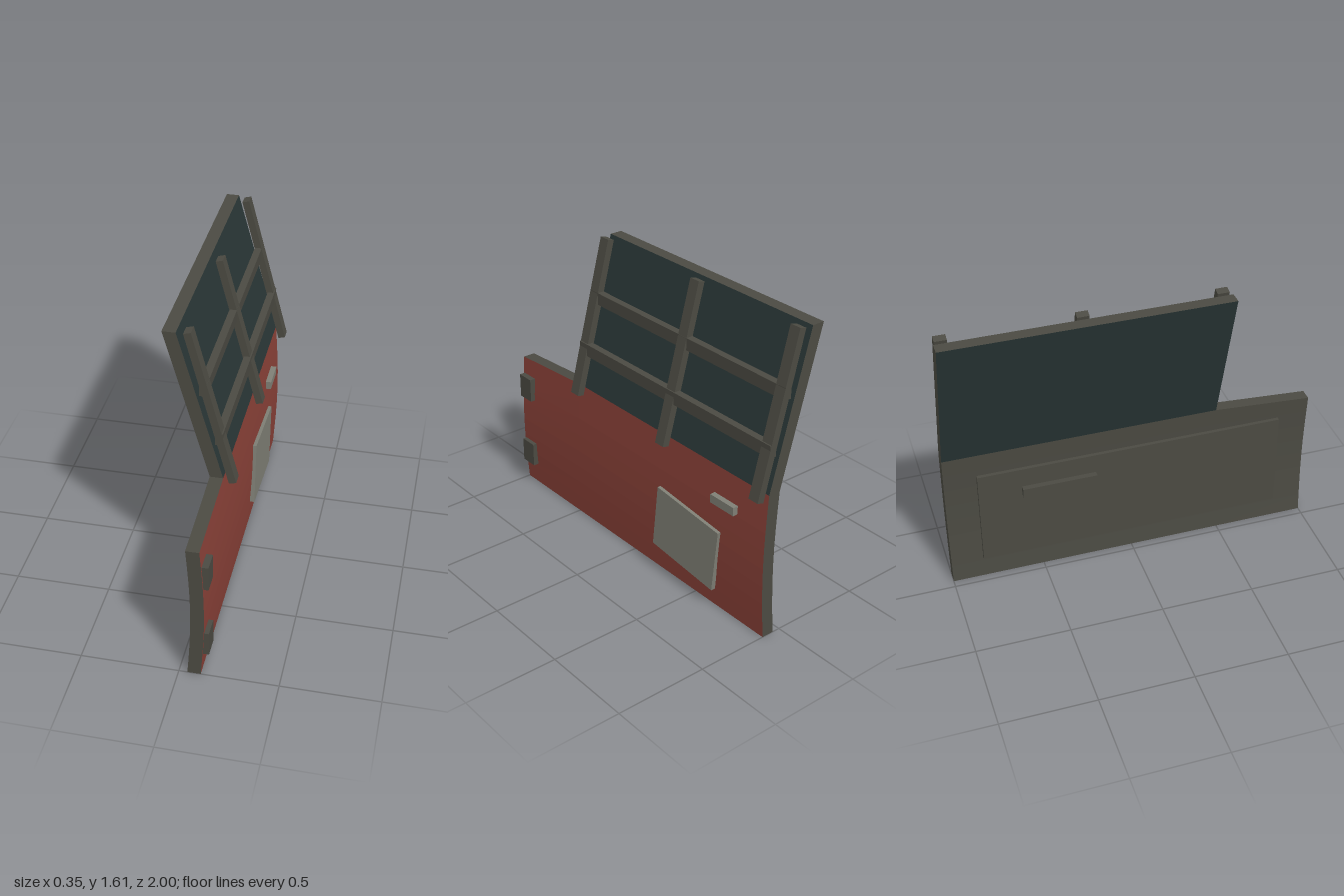
import * as THREE from 'three';

const mat = (name, color, side = THREE.FrontSide) => {
  const m = new THREE.MeshStandardMaterial({ color, side });
  m.name = name;
  return m;
};

// Upright slab: columns give [z, bottom, top]; inner(t) is the x of its inner side at height fraction t.
// Material groups: 0 outer face (+x), 1 inner face (-x), 2 edges.
function slab(columns, rows, inner, thick) {
  const lists = [[], [], []];
  const at = (c, r, outer) => {
    const [z, lo, hi] = columns[c], t = r / rows;
    return [inner(t) + (outer ? thick : 0), lo + (hi - lo) * t, z];
  };
  const quad = (g, a, b, c, d) => lists[g].push(...a, ...b, ...c, ...a, ...c, ...d);
  const last = columns.length - 1;
  for (let c = 0; c < last; c++) {
    for (let r = 0; r < rows; r++) {
      quad(0, at(c, r, 1), at(c + 1, r, 1), at(c + 1, r + 1, 1), at(c, r + 1, 1));
      quad(1, at(c + 1, r, 0), at(c, r, 0), at(c, r + 1, 0), at(c + 1, r + 1, 0));
    }
    quad(2, at(c, rows, 1), at(c + 1, rows, 1), at(c + 1, rows, 0), at(c, rows, 0));
    quad(2, at(c, 0, 0), at(c + 1, 0, 0), at(c + 1, 0, 1), at(c, 0, 1));
  }
  for (let r = 0; r < rows; r++) {
    quad(2, at(0, r, 0), at(0, r, 1), at(0, r + 1, 1), at(0, r + 1, 0));
    quad(2, at(last, r, 1), at(last, r, 0), at(last, r + 1, 0), at(last, r + 1, 1));
  }
  const geo = new THREE.BufferGeometry();
  geo.setAttribute('position', new THREE.Float32BufferAttribute(lists.flat(), 3));
  let start = 0;
  lists.forEach((l, i) => {
    geo.addGroup(start, l.length / 3, i);
    start += l.length / 3;
  });
  geo.computeVertexNormals();
  return geo;
}

export function createModel() {
  const group = new THREE.Group();
  group.name = 'vehicleDoor';
  const red = mat('red paint', 0x8a4138);
  const dark = mat('dark metal', 0x4b4a42);
  const glass = mat('dark glass', 0x293636);
  const grey = mat('grey metal', 0x7f7f75);

  const add = (name, geo, material, x = 0, y = 0, z = 0) => {
    const m = new THREE.Mesh(geo, material);
    m.name = name;
    m.position.set(x, y, z);
    group.add(m);
    return m;
  };
  // Box from its extents along each axis
  const box = (name, material, [x0, x1], [y0, y1], [z0, z1]) =>
    add(name, new THREE.BoxGeometry(x1 - x0, y1 - y0, z1 - z0), material,
      (x0 + x1) / 2, (y0 + y1) / 2, (z0 + z1) / 2);

  // Bowed lower door, sloping down ahead of the window
  add('doorPanel', slab([[1, 0, 0.775], [0.47, 0, 0.81], [-1, 0, 0.81]], 8,
    t => 0.043 + 0.019 * Math.sin(Math.PI * t), 0.067), [red, dark, dark]);

  // Leaning window pane with dark edges
  add('window', slab([[0.47, 0.81, 1.61], [-1, 0.81, 1.61]], 1,
    t => 0.043 - 0.223 * t, 0.067), [glass, glass, dark]);

  // Window guard: leaning uprights and two rails
  for (const z of [0.433, -0.275, -0.96]) {
    const bar = add('guardUpright', new THREE.BoxGeometry(0.038, 0.855, 0.062), dark, 0.047, 1.195, z);
    bar.rotation.z = 0.257;
  }
  box('guardRailUpper', dark, [-0.008, 0.03], [1.273, 1.338], [-0.99, 0.464]);
  box('guardRailLower', dark, [0.069, 0.107], [1.0, 1.067], [-0.99, 0.464]);

  // Hinges at the front edge
  for (const y of [0.13, 0.545]) box('hinge', dark, [0.11, 0.15], [y, y + 0.135], [0.89, 0.99]);

  // Outer handle and crooked patch plate
  box('outerHandle', grey, [0.11, 0.15], [0.617, 0.663], [-0.803, -0.637]);
  const patch = add('patchPlate', new THREE.BoxGeometry(0.025, 0.358, 0.465), grey, 0.134, 0.308, -0.445);
  patch.rotation.x = -0.105;

  // Inner trim and pull handle
  box('innerTrim', dark, [0.025, 0.045], [0.13, 0.68], [-0.83, 0.83]);
  box('innerHandle', dark, [-0.005, 0.028], [0.52, 0.57], [-0.6, -0.2]);

  return group;
}
